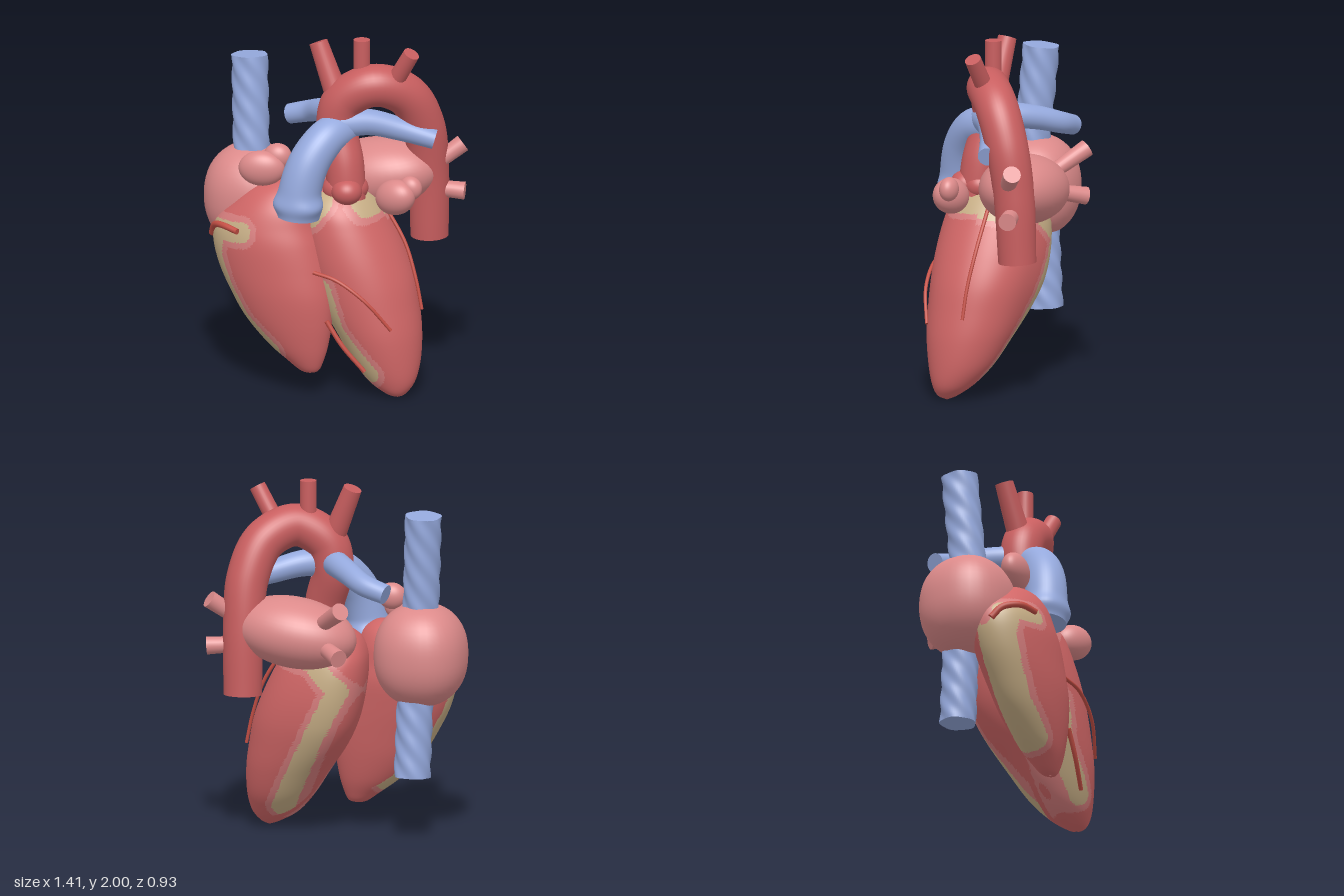
import * as THREE from 'three';
import { mergeGeometries } from 'three/addons/utils/BufferGeometryUtils.js';

const paint = (name, color) => {
  const m = new THREE.MeshStandardMaterial({ color });
  m.name = name;
  return m;
};
const V = (a) => new THREE.Vector3(...a);

// Closed-ring surface: rows[i][j] are Vector3, each row wraps round
function loft(rows) {
  const n = rows[0].length, pos = [], index = [];
  rows.forEach((row) => row.forEach((p) => pos.push(p.x, p.y, p.z)));
  for (let i = 0; i < rows.length - 1; i++) {
    for (let j = 0; j < n; j++) {
      const a = i * n + j, b = i * n + (j + 1) % n;
      index.push(a, b, b + n, a, b + n, a + n);
    }
  }
  const g = new THREE.BufferGeometry();
  g.setAttribute('position', new THREE.Float32BufferAttribute(pos, 3));
  g.setIndex(index);
  g.computeVertexNormals();
  return g;
}

// Capped tube along points; radius(t, angle) may taper, bulge or flute
function vessel(points, radius, steps = 40, sides = 32) {
  const curve = new THREE.CatmullRomCurve3(points.map(V));
  const fr = curve.computeFrenetFrames(steps);
  const rows = [], mid = [];
  for (let i = 0; i <= steps; i++) {
    const c = curve.getPointAt(i / steps), row = [];
    for (let j = 0; j < sides; j++) {
      const a = j / sides * Math.PI * 2, r = radius(i / steps, a);
      row.push(c.clone().addScaledVector(fr.normals[i], r * Math.cos(a))
        .addScaledVector(fr.binormals[i], r * Math.sin(a)));
    }
    rows.push(row);
    mid.push(row.map(() => c));
  }
  return mergeGeometries([loft([mid[0], rows[0]]), loft(rows), loft([rows[steps], mid[steps]])]);
}
const taper = (a, b) => (t) => a + (b - a) * t;

// Distance from (x, y) to a polyline
function pathDistance(x, y, path) {
  let best = Infinity;
  for (let i = 0; i < path.length - 1; i++) {
    const [ax, ay] = path[i], dx = path[i + 1][0] - ax, dy = path[i + 1][1] - ay;
    const t = THREE.MathUtils.clamp(((x - ax) * dx + (y - ay) * dy) / (dx * dx + dy * dy), 0, 1);
    best = Math.min(best, Math.hypot(x - ax - t * dx, y - ay - t * dy));
  }
  return best;
}

// Ventricle from sections [y, xMin, xMax, zMin, zMax]; corner swells the inner back side.
// Bands are painted by face groups.
function ventricle(sections, corner, bands, steps = 130, sides = 110) {
  const cx = new THREE.CatmullRomCurve3(sections.map((s) => V([s[1], s[0], s[2]])), false, 'catmullrom');
  const cz = new THREE.CatmullRomCurve3(sections.map((s) => V([s[3], s[0], s[4]])), false, 'catmullrom');
  const rows = [];
  for (let i = 0; i <= steps; i++) {
    const p = cx.getPoint(i / steps), q = cz.getPoint(i / steps), row = [];
    const swell = corner * THREE.MathUtils.smoothstep(p.y, 0.1, 0.65);
    for (let j = 0; j < sides; j++) {
      const a = j / sides * Math.PI * 2, s = Math.sin(a), c = Math.cos(a);
      const k = 1 + swell * Math.max(0, -(s + c) * Math.SQRT1_2) ** 6;
      row.push(V([(p.x + p.z) / 2 + (p.z - p.x) / 2 * s * k, p.y, (q.x + q.z) / 2 + (q.z - q.x) / 2 * c * k]));
    }
    rows.push(row);
  }
  const g = loft(rows), P = g.attributes.position, idx = g.index.array;
  const sorted = [[], [], []];
  for (let k = 0; k < idx.length; k += 3) {
    const f = [idx[k], idx[k + 1], idx[k + 2]];
    const mean = (get) => f.reduce((s, i) => s + P[get](i) / 3, 0);
    const x = mean('getX'), y = mean('getY'), z = mean('getZ');
    let d = Infinity;
    for (const b of bands) if ((z - b.split) * b.side > 0) d = Math.min(d, pathDistance(x, y, b.path));
    sorted[d < 0.055 ? 2 : d < 0.09 ? 1 : 0].push(...f);
  }
  g.setIndex(sorted.flat());
  let start = 0;
  sorted.forEach((s, m) => { g.addGroup(start, s.length, m); start += s.length; });
  return g;
}

// Unit sphere pushed towards a rounded box; power 2 is a plain sphere
function softBall(power) {
  const g = new THREE.SphereGeometry(1, 40, 28), p = g.attributes.position, n = g.attributes.normal;
  for (let i = 0; i < p.count; i++) {
    const a = [p.getX(i), p.getY(i), p.getZ(i)];
    const k = a.reduce((s, c) => s + Math.abs(c) ** power, 0) ** (-1 / power);
    p.setXYZ(i, a[0] * k, a[1] * k, a[2] * k);
    const m = V(a.map((c) => Math.sign(c) * Math.abs(c) ** (power - 1))).normalize();
    n.setXYZ(i, m.x, m.y, m.z);
  }
  return g;
}

export function createModel() {
  const muscle = paint('muscle red', 0xd06666), artery = paint('artery red', 0xc85e5f);
  const atrium = paint('atrium pink', 0xdc8a8a), blue = paint('vein blue', 0x95a9dd);
  const fat = paint('fat tan', 0xc6ad85), rim = paint('fat rim pink', 0xd67d7d);
  const coronary = paint('coronary red', 0xc44f45);
  const heart = new THREE.Group();
  heart.name = 'heart';
  const add = (name, geometry, material) => {
    const m = new THREE.Mesh(geometry, material);
    m.name = name;
    heart.add(m);
    return m;
  };
  const lobe = (name, material, centre, radii, rot = [0, 0, 0], power = 2) => {
    const m = add(name, softBall(power), material);
    m.position.set(...centre);
    m.scale.set(...radii);
    m.rotation.set(...rot);
  };

  // Ventricles with fat bands
  add('rightVentricle', ventricle([
    [0.125, 0.0, 0.02, 0.295, 0.305], [0.14, -0.05, 0.06, 0.25, 0.335], [0.19, -0.12, 0.085, 0.215, 0.365],
    [0.28, -0.24, 0.11, 0.17, 0.4], [0.42, -0.375, 0.13, 0.125, 0.435], [0.57, -0.47, 0.13, 0.09, 0.457],
    [0.72, -0.545, 0.1, 0.06, 0.463], [0.86, -0.58, 0.06, 0.04, 0.46], [0.96, -0.56, 0.02, 0.05, 0.44],
    [1.06, -0.47, -0.01, 0.07, 0.4], [1.14, -0.38, -0.05, 0.11, 0.34], [1.19, -0.27, -0.12, 0.17, 0.27],
    [1.2, -0.2, -0.19, 0.215, 0.225],
  ], 0, [{ side: 1, split: 0.2,
    path: [[-0.34, 0.935], [-0.51, 0.92], [-0.53, 0.78], [-0.47, 0.6], [-0.36, 0.41], [-0.19, 0.25]] }]),
  [muscle, rim, fat]);
  add('leftVentricle', ventricle([
    [0.0, 0.475, 0.485, 0.15, 0.16], [0.025, 0.41, 0.53, 0.095, 0.215], [0.09, 0.3, 0.57, 0.01, 0.255],
    [0.2, 0.2, 0.585, -0.08, 0.29], [0.35, 0.1, 0.58, -0.15, 0.32], [0.5, 0.0, 0.555, -0.2, 0.335],
    [0.65, -0.07, 0.52, -0.235, 0.34], [0.8, -0.11, 0.46, -0.247, 0.335], [0.95, -0.13, 0.385, -0.235, 0.315],
    [1.05, -0.12, 0.325, -0.2, 0.285], [1.13, -0.07, 0.25, -0.12, 0.22], [1.18, 0.03, 0.16, -0.01, 0.12],
    [1.19, 0.09, 0.1, 0.05, 0.06],
  ], 0.25, [
    { side: 1, split: 0.07, path: [[0.1, 0.62], [0.165, 0.38], [0.36, 0.15]] },
    { side: 1, split: 0.07, path: [[0.01, 1.02], [0.07, 1.1]] },
    { side: 1, split: 0.0, path: [[0.27, 1.12], [0.31, 1.08]] },
    { side: -1, split: 0.03, path: [[0.31, 1.05], [0.1, 1.02], [-0.05, 0.86], [0.14, 0.5], [0.35, 0.13]] },
  ]), [muscle, rim, fat]);

  // Atria and their auricles
  lobe('rightAtrium', atrium, [-0.443, 1.045, 0.053], [0.258, 0.29, 0.263], [0, 0, 0], 2.25);
  lobe('leftAtrium', atrium, [0.215, 1.175, -0.195], [0.355, 0.197, 0.235], [0, 0.06, 0.15]);
  lobe('rightAuricle', atrium, [-0.29, 1.27, 0.27], [0.13, 0.1, 0.072], [0, 0.25, 0]);
  lobe('rightAuricleLobe', atrium, [-0.22, 1.33, 0.21], [0.08, 0.075, 0.06], [0, 0.2, 0.2]);
  lobe('leftAuricle', atrium, [0.46, 1.155, 0.14], [0.125, 0.1, 0.085], [0, -0.25, 0.3]);
  lobe('leftAuricleLobe', atrium, [0.54, 1.21, 0.115], [0.068, 0.068, 0.052]);

  // Pulmonary veins
  [[[0.48, 1.2, -0.2], [0.67, 1.36, -0.33]], [[0.42, 1.11, -0.24], [0.69, 1.09, -0.31]],
    [[0.05, 1.23, -0.27], [-0.13, 1.36, -0.42]], [[0.05, 1.14, -0.27], [-0.12, 1.09, -0.42]]]
    .forEach((p) => add('pulmonaryVein', vessel(p, taper(0.04, 0.05), 4, 24), atrium));

  // Venae cavae with spiral fluting
  const fluted = (t, a) => 0.1 + 0.004 * Math.sin(5 * a + t * 24);
  add('superiorVenaCava', vessel([[-0.44, 1.25, 0.06], [-0.47, 1.84, 0.015]], fluted, 48, 56), blue);
  add('inferiorVenaCava', vessel([[-0.42, 0.365, -0.03], [-0.43, 0.9, 0]], fluted, 48, 56), blue);

  // Aorta: bulbous root, arch, descending trunk and three branches
  add('aorta', vessel([[0.16, 1.1, 0.12], [0.135, 1.3, 0.1], [0.075, 1.5, 0.06], [0.11, 1.65, 0.05],
    [0.27, 1.742, 0.0], [0.415, 1.67, -0.12], [0.482, 1.48, -0.21], [0.492, 1.2, -0.26], [0.49, 0.82, -0.28]],
  (t) => 0.106 + 0.014 * Math.sin(t * Math.PI), 90, 40), artery);
  for (let i = 0; i < 3; i++) {
    const a = i * Math.PI * 2 / 3 + 0.5;
    lobe('aorticSinus', artery, [0.16 + 0.05 * Math.sin(a), 1.165, 0.135 + 0.05 * Math.cos(a)],
      [0.085, 0.075, 0.085]);
  }
  [[[0.06, 1.7, 0.05], [-0.05, 1.965, 0.03], 0.064, 0.052], [[0.2, 1.74, 0.0], [0.2, 2.0, 0.0], 0.046, 0.046],
    [[0.35, 1.71, -0.04], [0.495, 1.95, -0.01], 0.05, 0.046]]
    .forEach(([a, b, r, s]) => add('archBranch', vessel([a, b], taper(r, s), 4, 28), artery));

  // Pulmonary trunk with a swollen valve ring, then its two arteries
  add('pulmonaryTrunk', vessel([[-0.055, 1.03, 0.305], [-0.04, 1.2, 0.305], [0.0, 1.35, 0.265],
    [0.06, 1.46, 0.18], [0.105, 1.495, 0.08], [0.12, 1.515, 0.02]],
  (t, a) => 0.12 - 0.025 * t * t + (0.02 + 0.006 * Math.cos(3 * a)) * Math.exp(-(((t - 0.11) / 0.07) ** 2)),
  60, 40), blue);
  add('rightPulmonaryArtery', vessel([[0.1, 1.52, 0.1], [0.03, 1.54, -0.02], [-0.09, 1.515, -0.14],
    [-0.2, 1.475, -0.22], [-0.335, 1.435, -0.24]], taper(0.078, 0.056)), blue);
  add('leftPulmonaryArtery', vessel([[0.1, 1.525, 0.1], [0.24, 1.525, 0.0], [0.4, 1.48, -0.08],
    [0.58, 1.425, -0.14]], taper(0.082, 0.055)), blue);

  // Coronary arteries over the surface
  [[[[-0.575, 0.87, 0.3], [-0.54, 0.935, 0.35], [-0.46, 0.96, 0.42], [-0.36, 0.945, 0.455]], 0.02],
    [[[0.06, 0.73, 0.36], [0.2, 0.7, 0.365], [0.36, 0.59, 0.34], [0.49, 0.42, 0.275]], 0.011],
    [[[0.13, 0.45, 0.34], [0.22, 0.31, 0.325], [0.335, 0.165, 0.285]], 0.014],
    [[[0.32, 1.06, -0.02], [0.455, 0.85, -0.01], [0.53, 0.65, 0.01], [0.57, 0.48, 0.02]], 0.011]]
    .forEach(([p, r]) => add('coronaryArtery', vessel(p, taper(r, r * 0.85), 32, 12), coronary));

  return heart;
}
